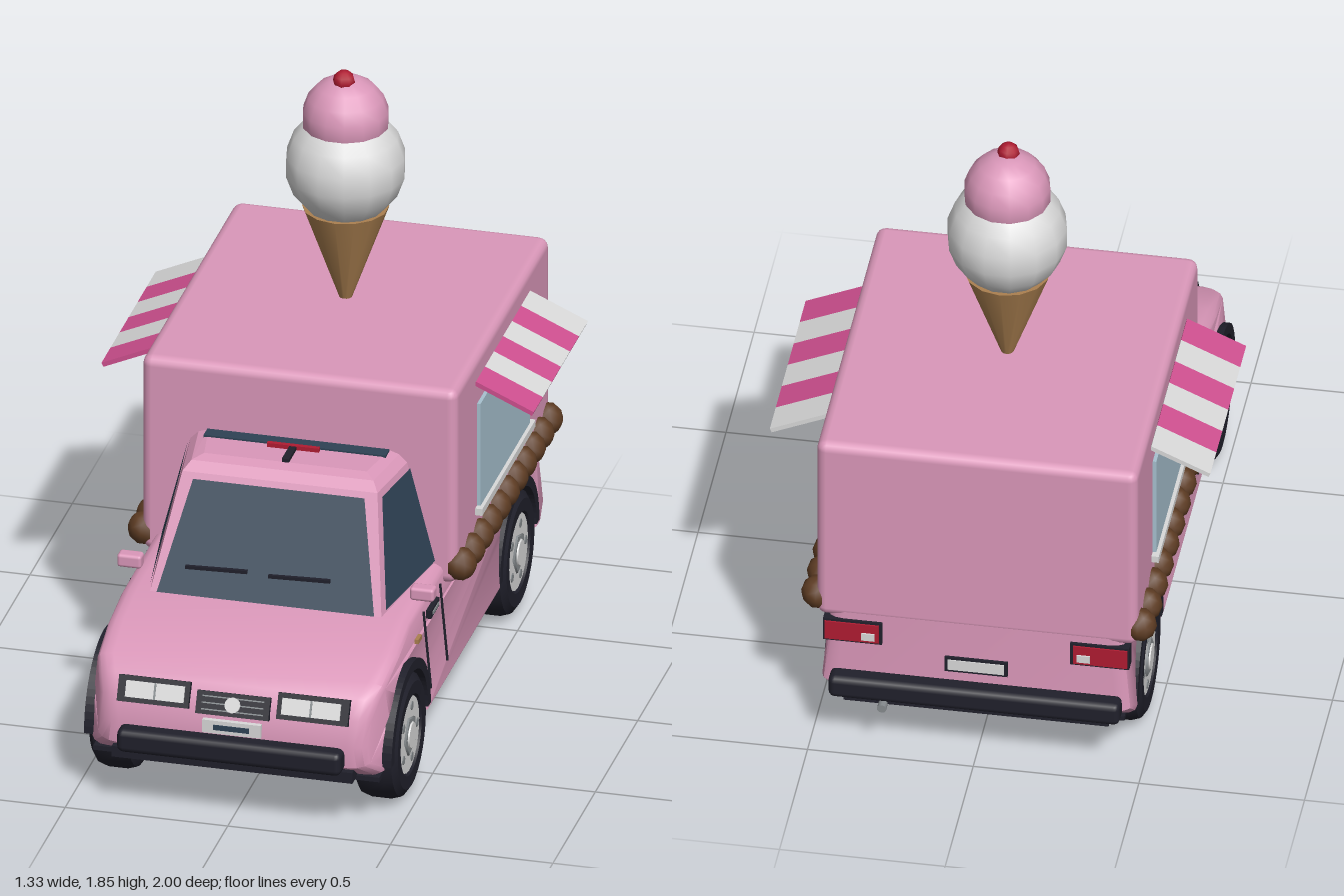
import * as THREE from 'three';
import { toCreasedNormals } from 'three/addons/utils/BufferGeometryUtils.js';
import { RoundedBoxGeometry } from 'three/addons/geometries/RoundedBoxGeometry.js';
import { ConvexGeometry } from 'three/addons/geometries/ConvexGeometry.js';

const material = (name, color, extra = {}) =>
  Object.assign(new THREE.MeshStandardMaterial({ color, ...extra }), { name });

export function createModel() {
  const model = new THREE.Group();
  model.name = 'iceCreamVan';

  const pink = material('pink', 0xdb98ba);
  const hotPink = material('hot pink', 0xd05090);
  const white = material('white', 0xdadada);
  const dark = material('dark rubber', 0x20202b);
  const glass = material('dark glass', 0x2e4254, { side: THREE.DoubleSide });
  const paleGlass = material('pale glass', 0xa8c2d0);
  const brown = material('chocolate', 0x5f3d24);
  const tan = material('wafer', 0xab8050);
  const red = material('red', 0xb01c32);
  const grey = material('grey', 0x868b8e);

  const add = (name, geo, mat, x = 0, y = 0, z = 0, parent = model) => {
    const mesh = new THREE.Mesh(geo, mat);
    mesh.name = name;
    mesh.position.set(x, y, z);
    parent.add(mesh);
    return mesh;
  };
  const box = (name, mat, w, h, d, x, y, z, parent) =>
    add(name, new THREE.BoxGeometry(w, h, d), mat, x, y, z, parent);
  const rounded = (name, mat, w, h, d, r, x, y, z) =>
    add(name, new RoundedBoxGeometry(w, h, d, 2, r), mat, x, y, z);
  const quad = (name, mat, a, b, c, d) => {
    const geo = new THREE.BufferGeometry().setFromPoints([a, b, c, a, c, d]);
    geo.computeVertexNormals();
    return add(name, geo, mat);
  };

  // Lower body: side profile with wheel arches, extruded across the van
  const axles = [-0.63, 0.65];
  const profile = new THREE.Shape();
  profile.moveTo(-0.945, 0.22);
  profile.lineTo(-0.88, 0.165);
  for (const z of axles) {
    profile.lineTo(z - 0.205, 0.165);
    profile.absarc(z, 0.195, 0.205, Math.PI, 0, true);
    profile.lineTo(z + 0.205, 0.165);
  }
  for (const [z, y] of [[0.885, 0.165], [0.945, 0.21], [0.95, 0.28], [0.93, 0.36], [0.9, 0.42],
    [0.85, 0.455], [0.7, 0.495], [0.55, 0.525], [0.17, 0.53], [-0.94, 0.53]]) profile.lineTo(z, y);
  let bodyGeo = new THREE.ExtrudeGeometry(profile, {
    depth: 0.85, curveSegments: 14, bevelThickness: 0.05, bevelSize: 0.025, bevelOffset: -0.025, bevelSegments: 3,
  });
  bodyGeo.translate(0, 0, -0.425);
  bodyGeo.rotateY(-Math.PI / 2);
  // Lean the sides inward and narrow the nose
  const pos = bodyGeo.attributes.position;
  for (let i = 0; i < pos.count; i++) {
    const nose = THREE.MathUtils.clamp((pos.getZ(i) - 0.78) / 0.17, 0, 1);
    const lean = 1 - 0.07 * (pos.getY(i) - 0.165) / 0.365;
    pos.setX(i, pos.getX(i) * lean * (1 - 0.16 * nose * nose));
  }
  add('lowerBody', toCreasedNormals(bodyGeo, 0.6), pink);
  box('floor', dark, 0.88, 0.015, 1.8, 0, 0.16, 0);
  box('chassis', dark, 0.62, 0.25, 1.74, 0, 0.29, 0);
  box('frontLip', dark, 0.74, 0.035, 0.08, 0, 0.18, 0.91);
  box('rearLip', dark, 0.8, 0.035, 0.08, 0, 0.18, -0.91);
  rounded('frontBumper', dark, 0.69, 0.075, 0.08, 0.02, 0, 0.238, 0.96);
  rounded('rearBumper', dark, 0.88, 0.075, 0.07, 0.02, 0, 0.238, -0.965);

  // Cargo box
  rounded('cargoBox', pink, 0.97, 0.64, 1.105, 0.03, 0, 0.78, -0.39);

  // Cab
  const V = (x, y, z) => new THREE.Vector3(x, y, z);
  const cabPoints = [];
  for (const s of [-1, 1]) {
    for (const [x, y, z] of [[0.425, 0.5, 0.15], [0.36, 0.5, 0.565], [0.335, 0.85, 0.15],
      [0.3, 0.85, 0.385], [0.31, 0.875, 0.15], [0.28, 0.875, 0.355], [0.28, 0.885, 0.15], [0.25, 0.885, 0.32]])
      cabPoints.push(V(s * x, y, z));
  }
  add('cab', new ConvexGeometry(cabPoints), pink);

  // Cab glass, laid on the sloping faces
  const sidePoint = (s, u, v) => {
    const low = V(0.425, 0.5, 0.15).lerp(V(0.36, 0.5, 0.565), u);
    const p = low.lerp(V(0.335, 0.85, 0.15).lerp(V(0.3, 0.85, 0.385), u), v);
    return V(s * (p.x + 0.005), p.y, p.z);
  };
  const frontPoint = (u, v) =>
    V(u * (0.36 - 0.06 * v), 0.5 + 0.35 * v + 0.002, 0.565 - 0.18 * v + 0.005);
  quad('windshield', glass, frontPoint(-0.94, 0.07), frontPoint(0.94, 0.07),
    frontPoint(0.87, 0.95), frontPoint(-0.87, 0.95));
  for (const s of [-1, 1])
    quad('sideWindow', glass, sidePoint(s, 0.03, 0.1), sidePoint(s, 0.94, 0.1),
      sidePoint(s, 0.91, 0.95), sidePoint(s, 0.03, 0.95));
  for (const x of [-0.16, 0.095]) {
    const wiper = box('wiper', dark, 0.19, 0.01, 0.012, x, 0.605, 0.52);
    wiper.rotation.z = 0.03;
  }

  // Roof fittings
  box('roofWindow', glass, 0.56, 0.008, 0.045, 0, 0.886, 0.19);
  box('roofLight', red, 0.16, 0.014, 0.015, 0, 0.891, 0.226);
  box('roofAerial', dark, 0.022, 0.012, 0.09, 0, 0.89, 0.276);

  // Nose: headlights, grille and plate
  const nose = new THREE.Group();
  nose.name = 'nose';
  nose.position.set(0, 0.38, 0.921);
  nose.rotation.x = -0.42;
  model.add(nose);
  for (const s of [-1, 1]) {
    box('headlightFrame', dark, 0.22, 0.08, 0.03, s * 0.245, 0, 0, nose);
    box('headlight', white, 0.18, 0.05, 0.01, s * 0.24, 0, 0.016, nose);
    box('headlightDivider', grey, 0.006, 0.05, 0.012, s * 0.24, 0, 0.017, nose);
  }
  box('grille', dark, 0.225, 0.07, 0.03, 0, -0.015, 0, nose);
  for (const y of [-0.035, -0.015, 0.005]) box('grilleBar', grey, 0.19, 0.004, 0.008, 0, y, 0.014, nose);
  const disc = add('grilleDisc', new THREE.CylinderGeometry(0.024, 0.024, 0.012, 12), white, 0, -0.015, 0.017, nose);
  disc.rotation.x = Math.PI / 2;
  box('frontPlate', white, 0.18, 0.042, 0.015, 0, 0.302, 0.95);
  box('frontPlateStripe', glass, 0.11, 0.016, 0.004, 0, 0.302, 0.959);

  // Tail: lights, plate and exhaust
  for (const s of [-1, 1]) {
    box('tailLightFrame', dark, 0.178, 0.078, 0.04, s * 0.373, 0.42, -0.93);
    box('tailLight', red, 0.164, 0.064, 0.05, s * 0.375, 0.42, -0.93);
    box('reverseLight', white, 0.04, 0.025, 0.006, s * 0.325, 0.41, -0.957);
  }
  box('rearPlateFrame', dark, 0.19, 0.052, 0.01, 0, 0.335, -0.946);
  box('rearPlate', white, 0.17, 0.036, 0.008, 0, 0.335, -0.95);
  const exhaust = add('exhaust', new THREE.CylinderGeometry(0.014, 0.014, 0.1, 10), grey, 0.28, 0.165, -0.93);
  exhaust.rotation.x = Math.PI / 2;

  // Wheels with rims, and the dark arch trims around them
  const tireProfile = [[0.001, -0.07], [0.16, -0.07], [0.187, -0.055], [0.195, -0.03], [0.195, 0.03],
    [0.187, 0.055], [0.165, 0.07], [0.125, 0.068], [0.115, 0.05]].map(([r, y]) => new THREE.Vector2(r, y));
  const tireGeo = toCreasedNormals(new THREE.LatheGeometry(tireProfile, 28).toNonIndexed(), 0.6);
  const archShape = new THREE.Shape();
  archShape.absarc(0, 0, 0.232, 0, Math.PI, false);
  archShape.absarc(0, 0, 0.2, Math.PI, 0, true);
  const archGeo = new THREE.ExtrudeGeometry(archShape, { depth: 0.165, bevelEnabled: false, curveSegments: 16 });
  archGeo.rotateY(-Math.PI / 2);
  for (const z of axles) for (const s of [-1, 1]) {
    add('archTrim', archGeo, dark, s > 0 ? 0.473 : -0.308, 0.195, z);
    const wheel = new THREE.Group();
    wheel.name = 'wheel';
    wheel.position.set(s * 0.405, 0.196, z);
    wheel.rotation.z = -s * Math.PI / 2;
    model.add(wheel);
    add('tire', tireGeo, dark, 0, 0, 0, wheel);
    add('rim', new THREE.CylinderGeometry(0.118, 0.118, 0.02, 24), white, 0, 0.052, 0, wheel);
    add('rimRing', new THREE.CylinderGeometry(0.062, 0.066, 0.008, 5), grey, 0, 0.064, 0, wheel);
    add('hub', new THREE.CylinderGeometry(0.04, 0.044, 0.012, 10), white, 0, 0.067, 0, wheel);
    for (let i = 0; i < 5; i++) {
      const a = (i + 0.5) * Math.PI * 0.4;
      add('rimHole', new THREE.CylinderGeometry(0.014, 0.014, 0.004, 6), grey,
        Math.sin(a) * 0.088, 0.063, Math.cos(a) * 0.088, wheel);
    }
  }

  // Parts repeated on both flanks
  const ballGeo = new THREE.IcosahedronGeometry(0.052, 1);
  for (const s of [-1, 1]) {
    rounded('mirror', pink, 0.075, 0.042, 0.045, 0.01, s * 0.45, 0.556, 0.42);
    for (const z of [0.22, 0.415]) {
      const seam = box('doorSeam', dark, 0.006, 0.25, 0.006, s * 0.461, 0.365, z);
      seam.rotation.z = s * 0.09;
    }
    box('doorHandle', dark, 0.016, 0.026, 0.1, s * 0.452, 0.456, 0.315);
    box('doorHandleGrip', grey, 0.018, 0.01, 0.07, s * 0.454, 0.456, 0.315);
    box('turnSignal', tan, 0.012, 0.014, 0.04, s * 0.453, 0.435, 0.49);

    // Row of chocolate balls
    for (let i = 0; i < 11; i++) add('chocolateBall', ballGeo, brown, s * 0.485, 0.515, 0.12 - i * 0.1015);

    // Serving hatch with sill
    box('servingHatch', paleGlass, 0.02, 0.36, 0.585, s * 0.486, 0.77, -0.372);
    box('hatchSill', white, 0.04, 0.022, 0.63, s * 0.487, 0.602, -0.372);

    // Striped awning
    for (let i = 0; i < 6; i++) {
      const stripe = box('awningStripe', i % 2 ? white : hotPink, 0.195, 0.014, 0.1065,
        s * 0.573, 0.986, -0.113 - i * 0.1065);
      stripe.rotation.z = -s * 0.42;
    }
  }

  // Giant ice cream cone on the roof
  const cone = new THREE.Group();
  cone.name = 'iceCreamCone';
  cone.position.set(0, 0, -0.39);
  model.add(cone);
  add('wafer', new THREE.CylinderGeometry(0.13, 0.016, 0.31, 14), tan, 0, 1.245, 0, cone);
  add('vanillaScoop', new THREE.SphereGeometry(0.183, 14, 9), white, 0, 1.54, 0, cone);
  add('strawberryScoop', new THREE.SphereGeometry(0.132, 14, 9), pink, 0, 1.694, 0, cone);
  add('cherry', new THREE.SphereGeometry(0.034, 8, 6), red, 0, 1.822, 0.02, cone);

  return model;
}
